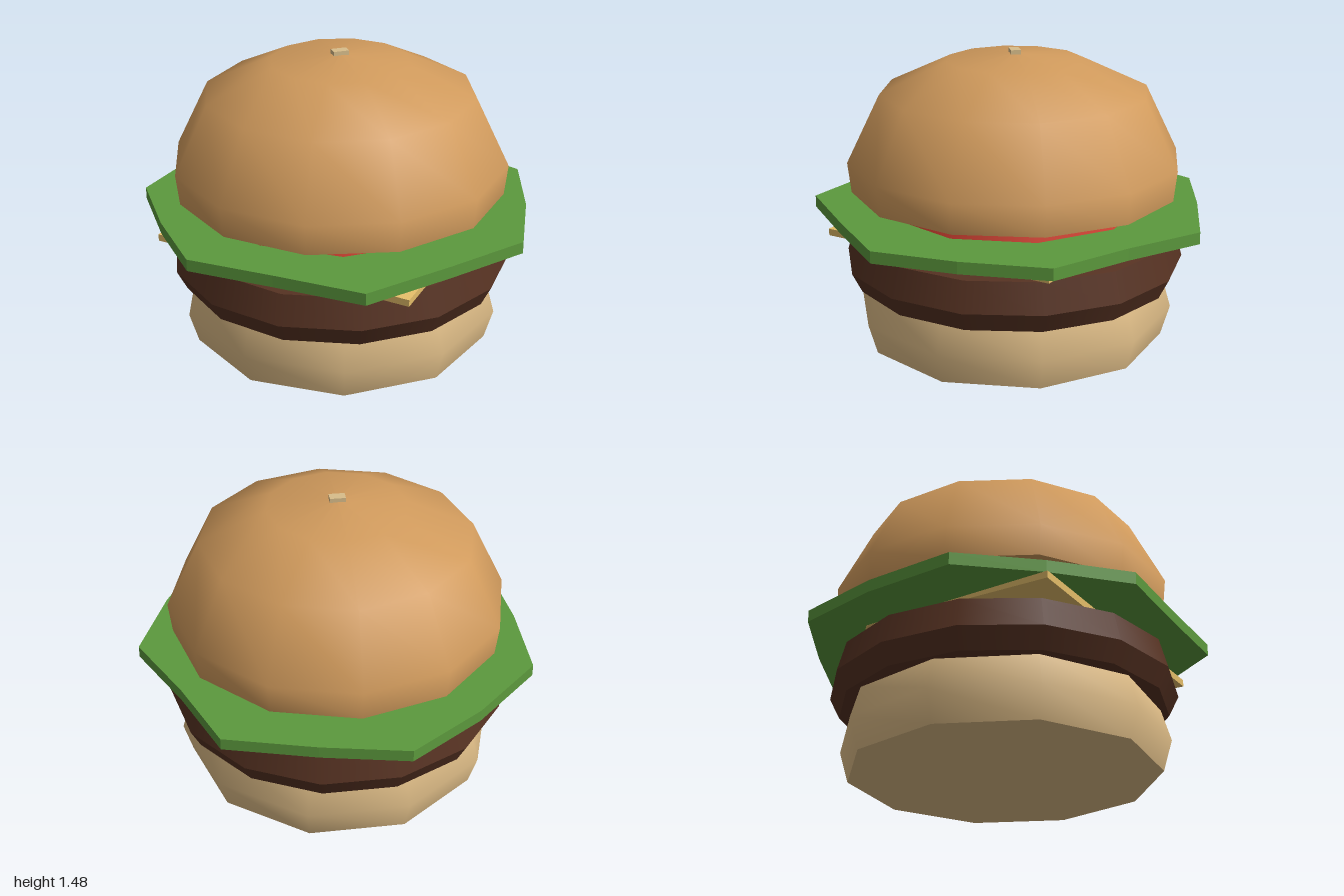
import * as THREE from 'three';
import { mergeGeometries } from 'three/addons/utils/BufferGeometryUtils.js';

const material = (name, color) => {
  const m = new THREE.MeshStandardMaterial({ color });
  m.name = name;
  return m;
};

export function createModel() {
  const group = new THREE.Group();
  const cx = -0.03; // the round layers share this axis

  const add = (name, geometry, mat, x = 0, y = 0, z = 0) => {
    const mesh = new THREE.Mesh(geometry, mat);
    mesh.name = name;
    mesh.position.set(x, y, z);
    group.add(mesh);
    return mesh;
  };

  // Each band is a smooth [radius, y] profile; edges between bands stay sharp
  const rounds = (bands, sides) => mergeGeometries(bands.map((band) =>
    new THREE.LatheGeometry(band.map(([r, y]) => new THREE.Vector2(r, y)), sides, Math.PI / 2)));

  // Bottom bun
  add('bottomBun', rounds([
    [[0, 0], [0.77, 0]],
    [[0.77, 0], [0.815, 0.155], [0.77, 0.31]],
    [[0.77, 0.31], [0, 0.31]],
  ], 10), material('pale bun', 0xe0be88), cx);

  // Patty with a bevelled rim
  add('patty', rounds([
    [[0, 0.31], [0.815, 0.31]],
    [[0.815, 0.31], [0.865, 0.41]],
    [[0.865, 0.41], [0.825, 0.56]],
    [[0.825, 0.56], [0.62, 0.6], [0, 0.6]],
  ], 14), material('patty brown', 0x563222), cx);

  // Square cheese slice, cornerwise and sloping down to the front
  const side = 0.945 * Math.SQRT2;
  add('cheese', new THREE.BoxGeometry(side, 0.035, side), material('cheese yellow', 0xe6bf6a), cx, 0.618, 0)
    .rotation.set(0.048, Math.PI / 4, 0);

  // Irregular lettuce leaf
  const leaf = [
    [-0.24, -0.995], [0.18, -0.91], [0.62, -0.79], [0.78, -0.4], [0.975, -0.01],
    [0.82, 0.4], [0.62, 0.775], [0.2, 0.89], [-0.26, 1], [-0.6, 0.7],
    [-0.93, 0.42], [-0.96, 0], [-0.945, -0.435], [-0.61, -0.75],
  ].map(([x, z]) => new THREE.Vector2(x, -z));
  const leafGeometry = new THREE.ExtrudeGeometry(new THREE.Shape(leaf), { depth: 0.06, bevelEnabled: false });
  leafGeometry.rotateX(-Math.PI / 2);
  add('lettuce', leafGeometry, material('lettuce green', 0x5c993d), 0, 0.635, 0);

  // Tomato slice
  add('tomato', rounds([
    [[0, 0.69], [0.67, 0.69]],
    [[0.67, 0.69], [0.645, 0.79]],
    [[0.645, 0.79], [0, 0.79]],
  ], 10), material('tomato red', 0xd24232), cx);

  // Domed top bun
  add('topBun', rounds([
    [[0, 0.777], [0.828, 0.777]],
    [[0.828, 0.777], [0.845, 0.93], [0.677, 1.27], [0.345, 1.425], [0, 1.46]],
  ], 12), material('toasted bun', 0xd09a5c), cx, 0, -0.005);

  // Single seed on the crown
  add('seed', new THREE.BoxGeometry(0.078, 0.025, 0.05), material('seed cream', 0xd8bd8a), cx, 1.465, -0.005);

  return group;
}
